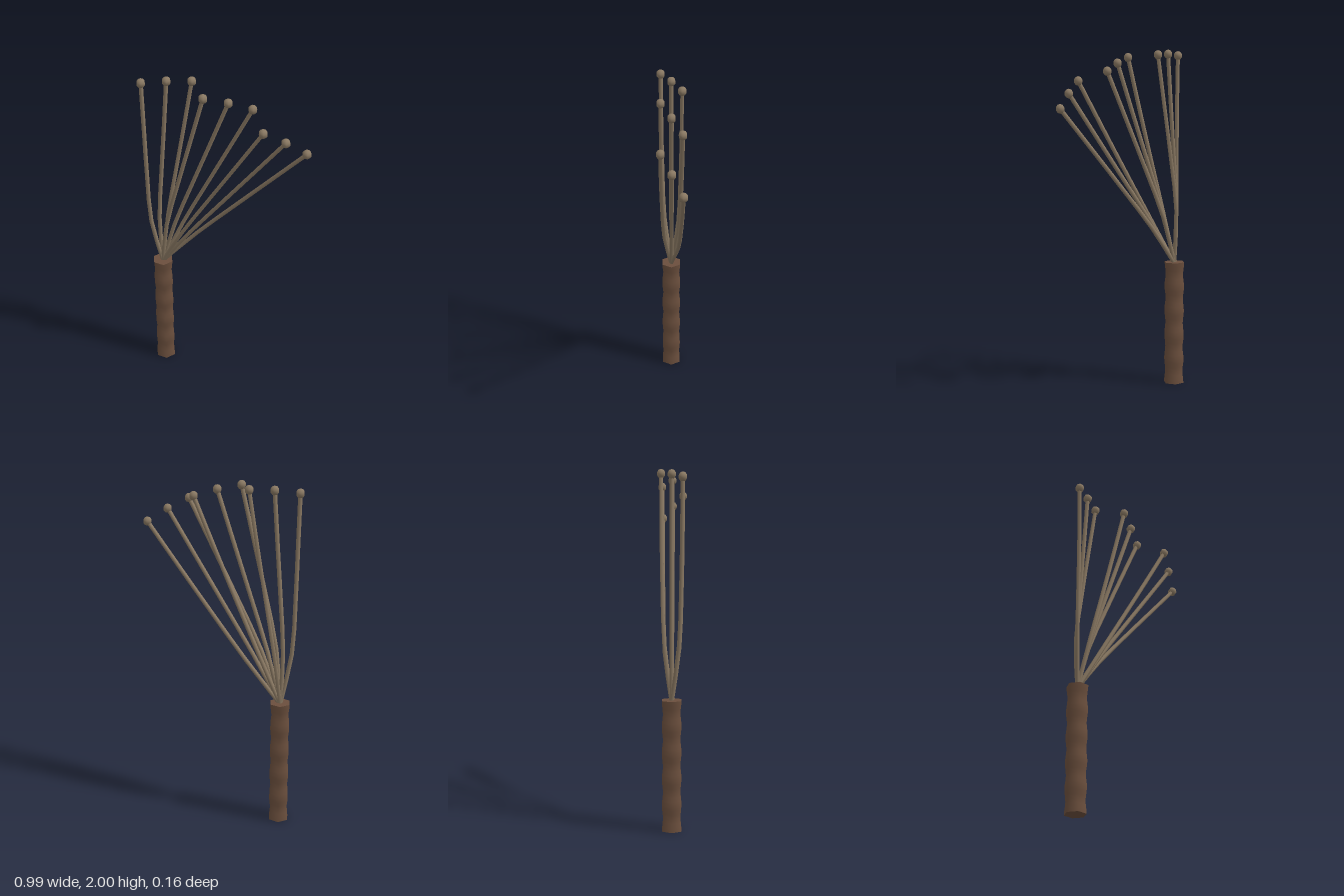
import * as THREE from 'three';

const handleMat = new THREE.MeshStandardMaterial({ color: 0x6b4f3d });
const strandMat = new THREE.MeshStandardMaterial({ color: 0x8a7963 });

const BASE_X = -0.402;
const HANDLE_TOP = 0.74;

// Six-sided grip with gentle ripples along its length, closed at both ends
function makeHandle() {
  const rings = 30, ripples = 5;
  const side = [];
  for (let i = 0; i <= rings; i++) {
    const t = i / rings;
    side.push(new THREE.Vector2(0.059 + 0.0035 * Math.cos(t * ripples * Math.PI * 2), t * HANDLE_TOP));
  }
  const handle = new THREE.Group();
  handle.name = 'handle';
  const grip = new THREE.Mesh(new THREE.LatheGeometry(side, 6, Math.PI / 2), handleMat);
  grip.name = 'grip';
  handle.add(grip);
  for (const top of [true, false]) {
    const cap = new THREE.Mesh(new THREE.CircleGeometry(0.0625, 6), handleMat);
    cap.name = top ? 'gripTop' : 'gripBottom';
    cap.rotation.x = top ? -Math.PI / 2 : Math.PI / 2;
    cap.position.y = top ? HANDLE_TOP : 0;
    handle.add(cap);
  }
  handle.position.x = BASE_X;
  return handle;
}

// One lash: a slightly bowed thin tube ending in a bead
function makeStrand(tip, bow) {
  const strand = new THREE.Group();
  strand.name = 'strand';
  const outward = [0, 0.68, 0.87, 0.96, 1]; // sideways spread at each quarter
  const bend = [0, 1, 0.75, 0.35, 0];
  const points = outward.map((s, i) => new THREE.Vector3(
    THREE.MathUtils.lerp(BASE_X, tip.x, i / 4) - bow * bend[i],
    THREE.MathUtils.lerp(HANDLE_TOP - 0.01, tip.y, i / 4),
    tip.z * s
  ));
  const lash = new THREE.Mesh(
    new THREE.TubeGeometry(new THREE.CatmullRomCurve3(points), 8, 0.012, 6), strandMat);
  lash.name = 'lash';
  const bead = new THREE.Mesh(new THREE.SphereGeometry(0.027, 6, 5), strandMat);
  bead.name = 'bead';
  bead.position.copy(tip);
  strand.add(lash, bead);
  return strand;
}

export function createModel() {
  const model = new THREE.Group();
  model.name = 'whip';
  model.add(makeHandle());

  // Tips fan out from left to right, cycling through three depth layers
  const tips = [
    [-0.47, 1.963], [-0.345, 1.974], [-0.22, 1.973], [-0.096, 1.957], [0.026, 1.928],
    [0.144, 1.886], [0.258, 1.831], [0.365, 1.766], [0.466, 1.688]
  ];
  const layers = [0.06, 0, -0.06];
  tips.forEach(([x, y], i) => {
    model.add(makeStrand(new THREE.Vector3(x, y, layers[i % 3]), 0.03 - 0.0025 * i));
  });
  return model;
}
